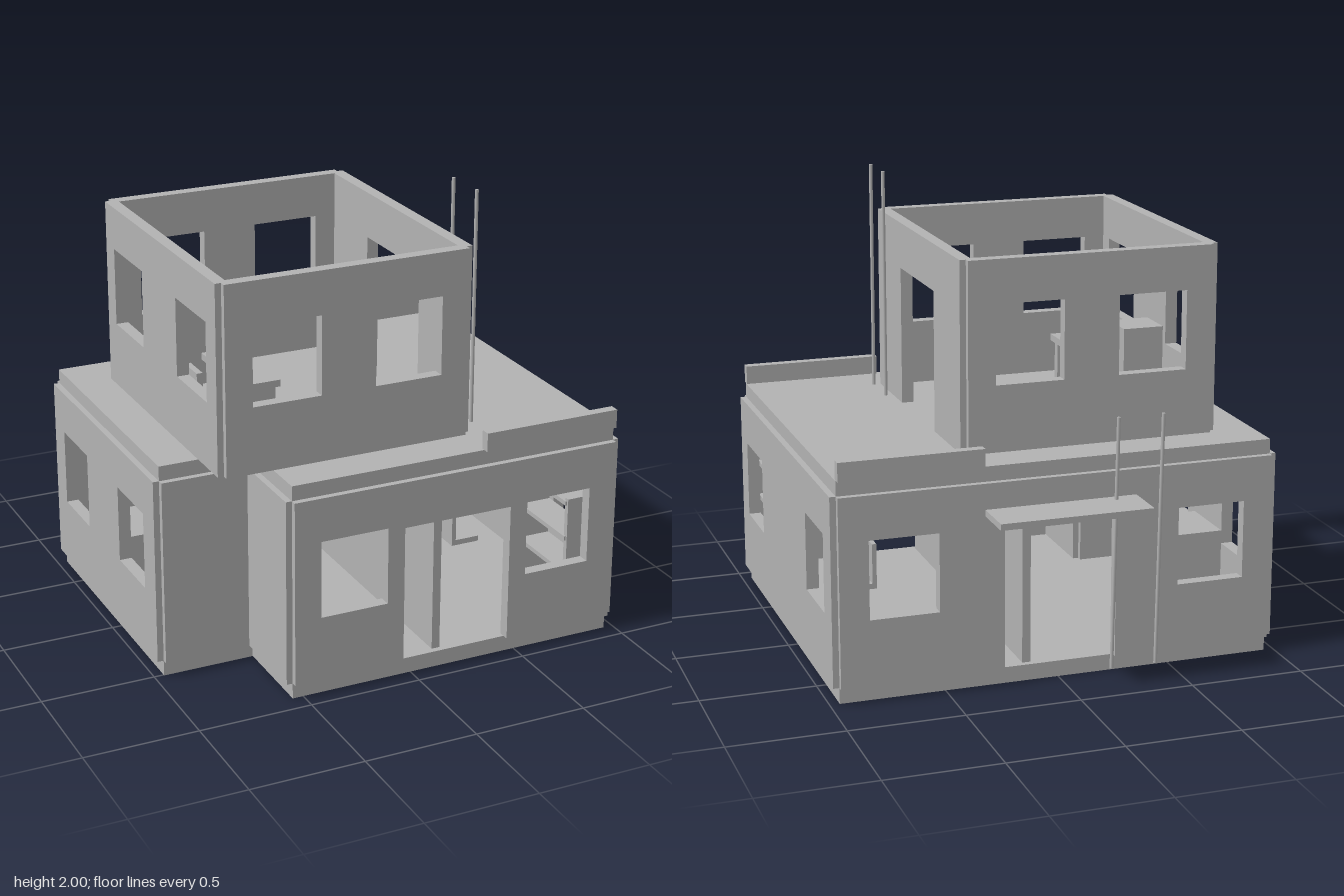
import * as THREE from 'three';

export function createModel() {
  const house = new THREE.Group();
  house.name = 'house';
  const plaster = new THREE.MeshStandardMaterial({ color: 0xb2b2b2 });
  plaster.name = 'grey plaster';
  const T = 0.054; // wall thickness

  function add(name, geometry, parent = house) {
    const mesh = new THREE.Mesh(geometry, plaster);
    mesh.name = name;
    parent.add(mesh);
    return mesh;
  }

  // Box given by its limits on each axis
  function box(name, x0, x1, y0, y1, z0, z1, parent) {
    const mesh = add(name, new THREE.BoxGeometry(x1 - x0, y1 - y0, z1 - z0), parent);
    mesh.position.set((x0 + x1) / 2, (y0 + y1) / 2, (z0 + z1) / 2);
    return mesh;
  }

  // Upright wall; windows are [u0, u1, y0, y1], the door is [u0, u1, top]
  function wall(name, axis, at, u0, u1, y0, y1, windows = [], door = null) {
    const pts = [[u0, y0]];
    if (door) pts.push([door[0], y0], [door[0], door[2]], [door[1], door[2]], [door[1], y0]);
    pts.push([u1, y0], [u1, y1], [u0, y1]);
    const shape = new THREE.Shape(pts.map(([u, y]) => new THREE.Vector2(u, y)));
    for (const [a, b, c, d] of windows) {
      shape.holes.push(new THREE.Path([[a, c], [a, d], [b, d], [b, c]].map(([u, y]) => new THREE.Vector2(u, y))));
    }
    const geometry = new THREE.ExtrudeGeometry(shape, { depth: T, bevelEnabled: false });
    geometry.translate(0, 0, -T / 2);
    if (axis === 'z') geometry.rotateY(-Math.PI / 2);
    const mesh = add(name, geometry);
    mesh.position[axis === 'z' ? 'x' : 'z'] = at;
  }

  // Round pole between two points
  function pole(name, from, to) {
    const a = new THREE.Vector3(...from), b = new THREE.Vector3(...to);
    const dir = b.clone().sub(a);
    const mesh = add(name, new THREE.CylinderGeometry(0.008, 0.008, dir.length(), 10));
    mesh.position.copy(a).add(b).multiplyScalar(0.5);
    mesh.quaternion.setFromUnitVectors(new THREE.Vector3(0, 1, 0), dir.normalize());
  }

  // Floor plan with a notched front corner
  const L = -0.957, R = 0.957, B = -0.72, F = 0.918, NX = -0.548, NZ = 0.505;
  const plan = new THREE.Shape([[L, -B], [L, -NZ], [NX, -NZ], [NX, -F], [R, -F], [R, -B]]
    .map(([x, y]) => new THREE.Vector2(x, y)));
  function slab(name, y0, y1) {
    const geometry = new THREE.ExtrudeGeometry(plan, { depth: y1 - y0, bevelEnabled: false });
    geometry.rotateX(-Math.PI / 2);
    add(name, geometry).position.y = y0;
  }
  slab('baseSlab', 0, 0.07);
  slab('roofSlab', 0.895, 0.96);

  // Ground floor walls
  const G0 = 0.07, G1 = 0.895;
  const low = (a, b) => [a, b, 0.36, 0.703];
  wall('groundFrontWall', 'x', F, NX, R, G0, G1, [low(-0.43, -0.125), low(0.53, 0.835)], [-0.048, 0.45, 0.69]);
  wall('groundBackWall', 'x', B, L, R, G0, G1, [low(-0.83, -0.53), low(0.53, 0.83)], [-0.247, 0.247, 0.69]);
  wall('groundLeftWall', 'z', R, B, F, G0, G1, [low(-0.6, -0.3), low(0.5, 0.8)]);
  wall('groundRightWall', 'z', L, B, NZ, G0, G1, [low(-0.6, -0.3), low(0.08, 0.38)]);
  wall('notchFrontWall', 'x', NZ, L, NX, G0, G1);
  wall('notchSideWall', 'z', NX, NZ, F, G0, G1);
  box('partition', 0.115, 0.152, G0, G1, B + T / 2, F - T / 2);

  // Upper room, open to the sky
  const U0 = 0.96, U1 = 1.785, UL = -0.755, UR = 0.338, UB = -0.515, UF = 0.712;
  const high = (a, b) => [a, b, 1.25, 1.595];
  const pair = [high(-0.635, -0.33), high(-0.085, 0.217)];
  wall('upperFrontWall', 'x', UF, UL, UR, U0, U1, pair);
  wall('upperBackWall', 'x', UB, UL, UR, U0, U1, pair);
  wall('upperRightWall', 'z', UL, UB, UF, U0, U1, [high(-0.42, -0.09), high(0.29, 0.61)]);
  wall('upperLeftWall', 'z', UR, UB, UF, U0, U1, [], [-0.148, 0.35, 1.58]);

  // Roof parapets and the canopy over the back door
  box('frontParapet', 0.33, 0.955, 0.96, 1.043, 0.9, 0.944);
  box('backParapet', 0.33, 0.955, 0.96, 1.043, -0.745, -0.703);
  box('canopy', -0.335, 0.332, 0.755, 0.783, -0.948, -0.74);

  // Poles on the roof and leaning at the back
  for (const z of [0.45, 0.65]) pole('roofPole', [0.413, 0.975, z], [0.413, 2, z]);
  for (const x of [-0.425, -0.225]) pole('leaningPole', [x + 0.015, 0.04, -0.803], [x - 0.015, 1.135, -0.776]);

  // Desk with screen, chair and cupboard upstairs
  const desk = new THREE.Group();
  desk.name = 'desk';
  house.add(desk);
  box('deskTop', -0.543, -0.367, 1.18, 1.21, -0.025, 0.41, desk);
  for (const z of [-0.003, 0.353]) box('deskLeg', -0.53, -0.38, U0, 1.18, z, z + 0.035, desk);
  box('screen', -0.502, -0.483, 1.23, 1.35, 0.108, 0.28, desk);
  box('screenStand', -0.483, -0.468, 1.21, 1.27, 0.185, 0.2, desk);
  box('chairSeat', -0.682, -0.545, 1.09, 1.115, 0.127, 0.26);
  box('chairBack', -0.682, -0.655, 1.115, 1.235, 0.127, 0.26);
  box('cupboard', -0.562, -0.385, U0, 1.425, -0.457, -0.28);

  // Shelf rack and furniture downstairs
  const rack = new THREE.Group();
  rack.name = 'shelfRack';
  house.add(rack);
  for (const z of [0.44, 0.83]) box('rackSide', 0.787, 0.93, G0, 0.622, z, z + 0.025, rack);
  for (const y of [0.26, 0.425, 0.59]) box('rackShelf', 0.78, 0.93, y, y + 0.02, 0.45, 0.845, rack);
  box('stoolBack', 0.565, 0.585, 0.2, 0.39, 0.1, 0.23);
  box('stoolSeat', 0.565, 0.7, 0.18, 0.205, 0.1, 0.23);
  box('lowCabinet', -0.93, -0.62, G0, 0.42, -0.3, 0.0);
  return house;
}
